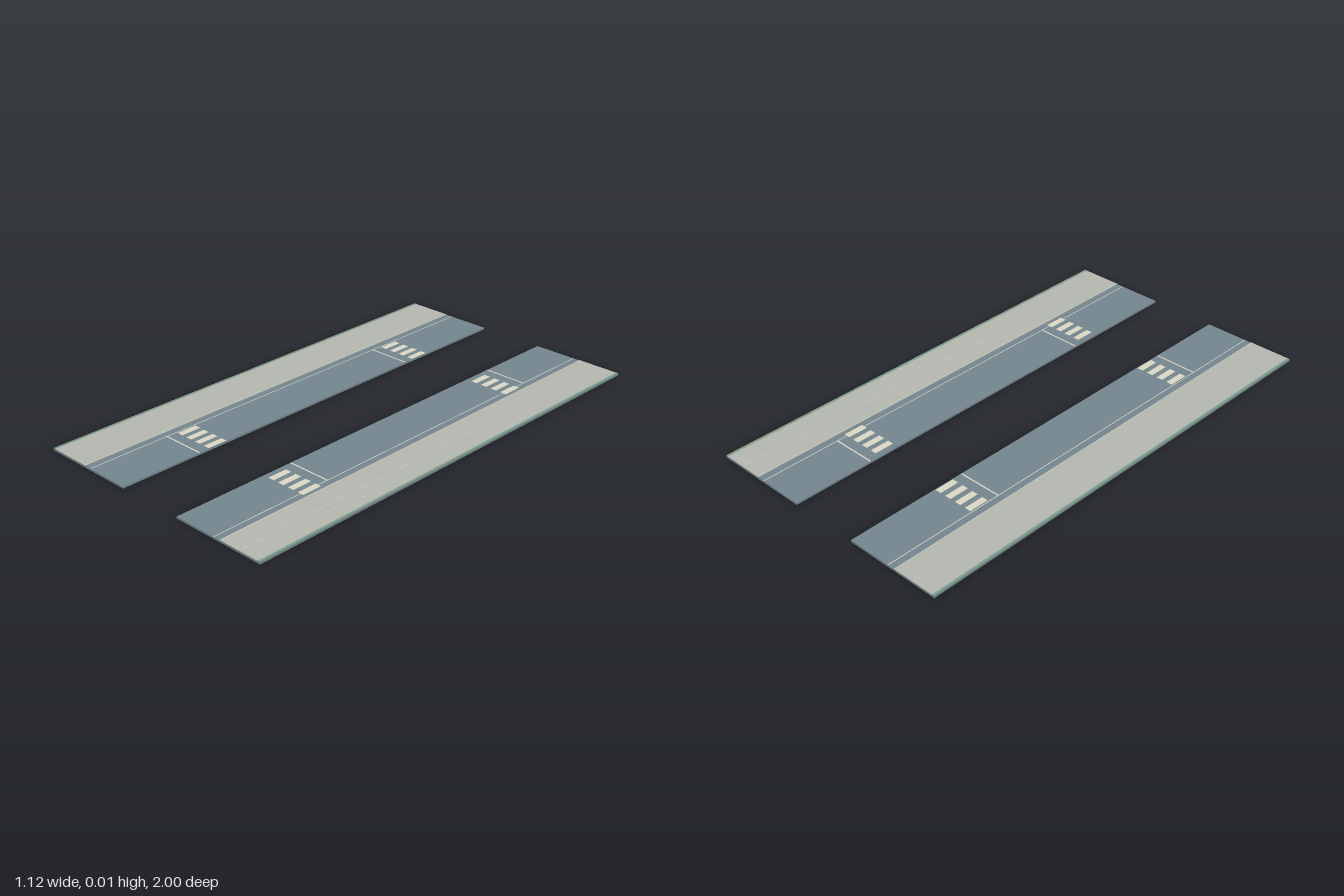
import * as THREE from 'three';

const mat = (color) => new THREE.MeshStandardMaterial({ color });

export function createModel() {
  const model = new THREE.Group();
  const asphalt = mat(0x75868f), paving = mat(0xb5b9b0), paint = mat(0xdcd9c8);
  const kerbstone = mat(0xc2c3b8), verge = mat(0x7d9c8a), joint = mat(0xc9c8b8);

  // Box given by its limits on each axis
  const slab = (parent, name, material, x0, x1, y0, y1, z0 = -1, z1 = 1) => {
    const mesh = new THREE.Mesh(new THREE.BoxGeometry(Math.abs(x1 - x0), y1 - y0, z1 - z0), material);
    mesh.position.set((x0 + x1) / 2, (y0 + y1) / 2, (z0 + z1) / 2);
    mesh.name = name;
    parent.add(mesh);
  };

  const roadTop = 0.008, walkTop = 0.0098, markTop = 0.0086;

  for (const s of [-1, 1]) {
    const side = new THREE.Group();
    side.name = s > 0 ? 'leftStreet' : 'rightStreet';
    model.add(side);

    // Carriageway, pavement, kerb and planted outer edge
    slab(side, 'road', asphalt, s * 0.147, s * 0.56, 0, roadTop);
    slab(side, 'sidewalk', paving, s * 0.372, s * 0.55, roadTop, walkTop);
    slab(side, 'kerb', kerbstone, s * 0.367, s * 0.372, roadTop, 0.0106);
    slab(side, 'verge', verge, s * 0.55, s * 0.56, roadTop, 0.0106);

    // Thin lines running along the street
    slab(side, 'edgeLine', paint, s * 0.334, s * 0.337, roadTop, markTop);
    slab(side, 'sidewalkSeam', joint, s * 0.459, s * 0.461, walkTop, walkTop + 0.0003);

    // Zebra crossings, each with a stop line on the approach side
    for (const z of [-0.566, 0.56]) {
      const first = s > 0 ? 0.172 : -0.328;
      for (let i = 0; i < 4; i++) {
        const x = first + i * 0.05;
        slab(side, 'crossingStripe', paint, x, x + 0.027, roadTop, markTop, z - 0.043, z + 0.043);
      }
      const stop = z - s * 0.089;
      slab(side, 'stopLine', paint, s * 0.148, s * 0.334, roadTop, markTop, stop - 0.003, stop + 0.003);
    }
  }

  // Paving joints across the left sidewalk
  const pitch = 0.0625;
  for (let i = 0; i < 32; i++) {
    const z = -1 + (i + 0.5) * pitch;
    slab(model, 'pavingJoint', joint, 0.373, 0.549, walkTop, walkTop + 0.0003, z - 0.0008, z + 0.0008);
  }
  return model;
}
